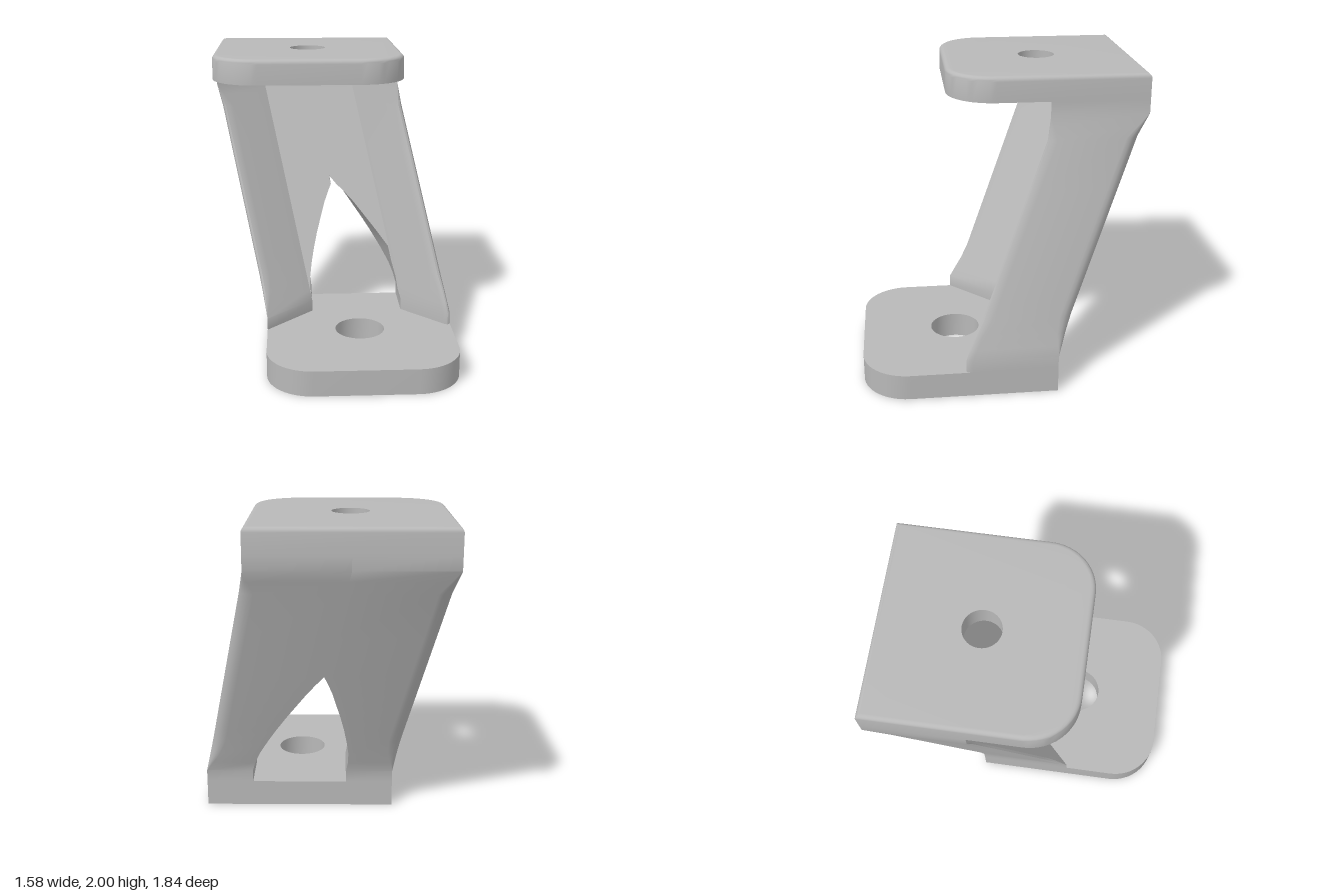
import * as THREE from 'three';
import { mergeGeometries, toCreasedNormals } from 'three/addons/utils/BufferGeometryUtils.js';

const grey = new THREE.MeshStandardMaterial({ color: 0xb8b8b8 });
grey.name = 'plain grey';

// Skin a stack of closed loops; loops run counter-clockwise seen from above
function loft(rows) {
  const pos = [];
  for (let j = 0; j < rows.length - 1; j++) {
    const lo = rows[j], hi = rows[j + 1], n = lo.length;
    for (let i = 0; i < n; i++) {
      const k = (i + 1) % n;
      for (const p of [lo[i], lo[k], hi[k], lo[i], hi[k], hi[i]]) pos.push(...p);
    }
  }
  const g = new THREE.BufferGeometry();
  g.setAttribute('position', new THREE.Float32BufferAttribute(pos, 3));
  return g;
}

// Square plate with two rounded front corners
function outline(cx, cz, inset) {
  const h = 0.625 - inset, R = 0.3, c = 0.625 - R, r = R - inset, pts = [[cx + h, cz - h], [cx - h, cz - h]];
  for (const [side, start] of [[-1, Math.PI], [1, Math.PI / 2]]) {
    for (let i = 0; i <= 12; i++) {
      const a = start - (i / 12) * Math.PI / 2;
      pts.push([cx + side * c + r * Math.cos(a), cz + c + r * Math.sin(a)]);
    }
  }
  return pts;
}

function plate(name, cx, cz, y0, y1, hole, bevel) {
  const levels = [[y0, 0], [y1 - bevel, 0]];
  if (bevel) {
    for (let i = 1; i <= 5; i++) {
      const a = (i / 5) * Math.PI / 2;
      levels.push([y1 - bevel + bevel * Math.sin(a), bevel * (1 - Math.cos(a))]);
    }
  }
  const parts = [loft(levels.map(([y, s]) => outline(cx, cz, s).map(([x, z]) => [x, y, z])))];

  // Hole wall, facing inward
  const ring = (y) => Array.from({ length: 40 }, (_, i) => {
    const a = (i / 40) * Math.PI * 2;
    return [cx + hole * Math.cos(a), y, cz + hole * Math.sin(a)];
  });
  parts.push(loft([ring(y0), ring(y1)]));

  // Top and bottom faces
  for (const [y, s, up] of [[y0, 0, false], [y1, bevel, true]]) {
    const sign = up ? -1 : 1;
    const shape = new THREE.Shape(outline(cx, cz, s).map(([x, z]) => new THREE.Vector2(x, sign * z)));
    shape.holes.push(new THREE.Path(ring(0).map(([x, , z]) => new THREE.Vector2(x, sign * z))));
    const cap = new THREE.ShapeGeometry(shape).toNonIndexed();
    cap.rotateX(up ? -Math.PI / 2 : Math.PI / 2).translate(0, y, 0);
    cap.deleteAttribute('normal');
    cap.deleteAttribute('uv');
    parts.push(cap);
  }
  const mesh = new THREE.Mesh(toCreasedNormals(mergeGeometries(parts), 0.6), grey);
  mesh.name = name;
  return mesh;
}

// Pointed opening in the web: height, half width, flare of the front edge
const ARCH = [
  [0.17, 0.315, 0], [0.25, 0.315, 0], [0.32, 0.31, 0], [0.4, 0.295, 0.02], [0.5, 0.26, 0.05],
  [0.6, 0.22, 0.09], [0.7, 0.175, 0.08], [0.8, 0.125, 0.07], [0.9, 0.075, 0.06],
  [0.97, 0.033, 0.05], [1.02, 0, 0.04], [1.08, 0, 0],
  [1.3, 0, 0], [1.6, 0, 0], [1.68, 0, 0], [1.75, 0, 0], [1.84, 0, 0],
];
const clamp = (v) => Math.min(1, Math.max(0, v));

// Half of the leaning channel: web, 45 degree flank and outer side
function channelHalf(name, side) {
  const rows = ARCH.map(([y, w, flare]) => {
    const lean = clamp((y - 0.25) / 1.5);
    const k = Math.min(clamp((y - 0.25) / 0.2), clamp((1.75 - y) / 0.15));
    const kf = side > 0 && y < 1 ? Math.max(k, 0.7) : k;
    const pts = [[w, -0.33]]; // distance from centre line, z
    const r = 0.09 * k;
    for (let i = 0; i <= 5; i++) { // back outer corner
      const a = (i / 5) * Math.PI / 2;
      pts.push([0.625 - r + r * Math.sin(a), -0.33 + r - r * Math.cos(a)]);
    }
    for (let i = 0; i <= 5; i++) { // front outer corner
      const t = i / 5;
      pts.push([0.625 - 0.07 * kf * t * t, 0.29 - kf * (0.1 * (1 - t) ** 2 + 0.07 * t * t)]);
    }
    pts.push([0.315, -0.02], [Math.min(0.315, w + (side > 0 ? flare : 0)), -0.02]);
    const loop = pts.map(([d, z]) => [0.165 + side * d - 0.33 * lean, y, z - 0.59 * lean]);
    return side > 0 ? loop.reverse() : loop;
  });
  const mesh = new THREE.Mesh(toCreasedNormals(loft(rows), 0.5), grey);
  mesh.name = name;
  return mesh;
}

export function createModel() {
  const model = new THREE.Group();
  model.name = 'offset bracket';
  model.add(
    plate('basePlate', 0.165, 0.295, 0, 0.17, 0.165, 0),
    plate('topPlate', -0.165, -0.295, 1.84, 2, 0.12, 0.03),
    channelHalf('rightChannelHalf', -1),
    channelHalf('leftChannelHalf', 1),
  );
  return model;
}
